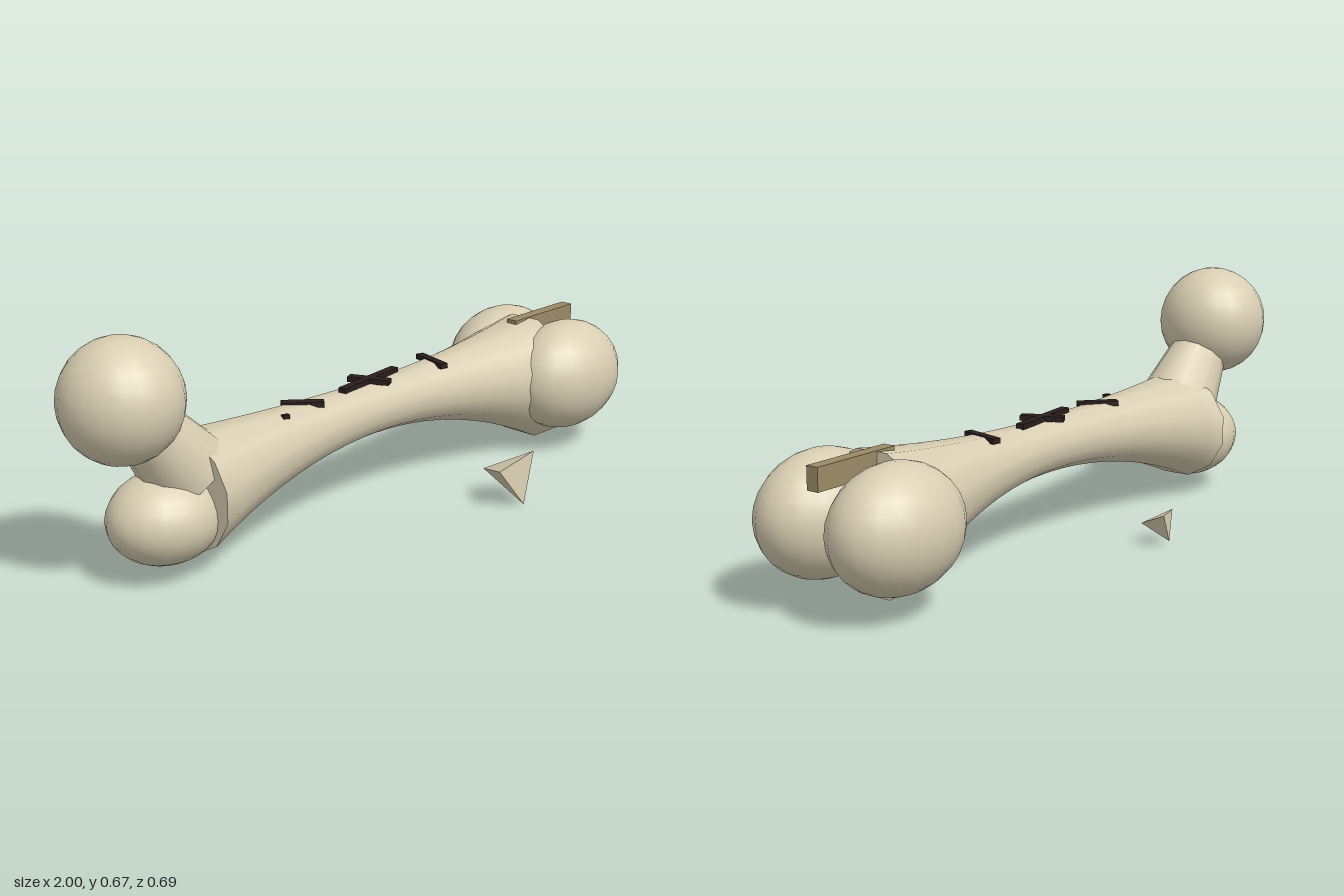
import * as THREE from 'three';
import { toCreasedNormals } from 'three/addons/utils/BufferGeometryUtils.js';
import { ConvexGeometry } from 'three/addons/geometries/ConvexGeometry.js';

const MID_Z = -0.017;

export function createModel() {
  const model = new THREE.Group();
  model.name = 'brokenBone';

  const material = (name, color) => {
    const m = new THREE.MeshStandardMaterial({ color });
    m.name = name;
    return m;
  };
  const bone = material('bone', 0xd9ceb2);
  const groove = material('darkBone', 0x9c8a66);
  const dark = material('crackDark', 0x2a1e1e);

  const add = (name, geometry, mat, x = 0, y = 0, z = 0) => {
    const mesh = new THREE.Mesh(geometry, mat);
    mesh.name = name;
    mesh.position.set(x, y, z);
    model.add(mesh);
    return mesh;
  };
  const knob = (name, x, y, z, rx, ry, rz) =>
    add(name, new THREE.SphereGeometry(1, 20, 14), bone, x, y, z).scale.set(rx, ry, rz);

  // Shaft: twelve-sided tube, narrow in the middle, flaring and sagging to both ends
  const x0 = -0.645, x1 = 0.745, waist = 0.05;
  const shaft = new THREE.CylinderGeometry(1, 1, 1, 12, 20, false, Math.PI / 12);
  shaft.rotateZ(-Math.PI / 2);
  const p = shaft.attributes.position;
  const apothem = Math.cos(Math.PI / 12);
  for (let i = 0; i < p.count; i++) {
    const x = x0 + (p.getX(i) + 0.5) * (x1 - x0);
    const t = (x - waist) / (x1 - waist);
    const s = t * t;
    const top = 0.346 + (t > 0 ? 0.049 : 0.021) * s;
    const bottom = 0.2 - (t > 0 ? 0.18 : 0.146) * s;
    const halfZ = 0.075 + (t > 0 ? 0.113 : 0.089) * s;
    p.setXYZ(i, x,
      (top + bottom) / 2 + p.getY(i) * (top - bottom) / 2 / apothem,
      MID_Z + p.getZ(i) * halfZ / apothem);
  }
  add('shaft', toCreasedNormals(shaft, 1), bone);

  // Upper end: ball head, angled neck and the smaller knob under it
  knob('head', -0.838, 0.508, MID_Z, 0.162, 0.163, 0.162);
  knob('lowerKnob', -0.71, 0.166, MID_Z, 0.165, 0.123, 0.14);
  const neck = add('neck', new THREE.CylinderGeometry(0.076, 0.118, 0.24, 12), bone, -0.72, 0.37, MID_Z);
  neck.rotation.z = THREE.MathUtils.degToRad(40);

  // Lower end: a pair of rounded knobs with a bar between them
  for (const [name, side] of [['leftCondyle', 1], ['rightCondyle', -1]]) {
    knob(name, 0.793, 0.229, MID_Z + side * 0.12, 0.203, 0.166, 0.146);
  }
  add('grooveBar', new THREE.BoxGeometry(0.274, 0.062, 0.036), groove, 0.817, 0.367, MID_Z);

  // Cracks on top: [start x, start z, end x, end z, height, width]
  const cracks = [
    [-0.26, -0.056, -0.172, 0.022, 0.348, 0.028],
    [-0.074, -0.006, 0.174, -0.036, 0.353, 0.024],
    [0.024, -0.074, 0.076, 0.036, 0.353, 0.028],
    [0.33, -0.08, 0.302, 0.04, 0.349, 0.024],
    [-0.33, 0.022, -0.31, 0.026, 0.345, 0.012],
  ];
  for (const [ax, az, bx, bz, y, width] of cracks) {
    const length = Math.hypot(bx - ax, bz - az);
    const crack = add('crack', new THREE.BoxGeometry(length, 0.015, width), dark,
      (ax + bx) / 2, y, (az + bz) / 2);
    crack.rotation.y = -Math.atan2(bz - az, bx - ax);
  }

  // Loose four-sided splinters beside the shaft
  const shard = (name, points) =>
    add(name, new ConvexGeometry(points.map((v) => new THREE.Vector3(...v))), bone);
  shard('frontShard', [[0.21, 0.123, 0.33], [0.36, 0.147, 0.331], [0.307, 0.002, 0.342], [0.287, 0.082, 0.208]]);
  shard('backShard', [[-0.163, 0.094, -0.312], [-0.072, 0.099, -0.343], [-0.115, 0.016, -0.334], [-0.092, 0.06, -0.256]]);

  return model;
}
